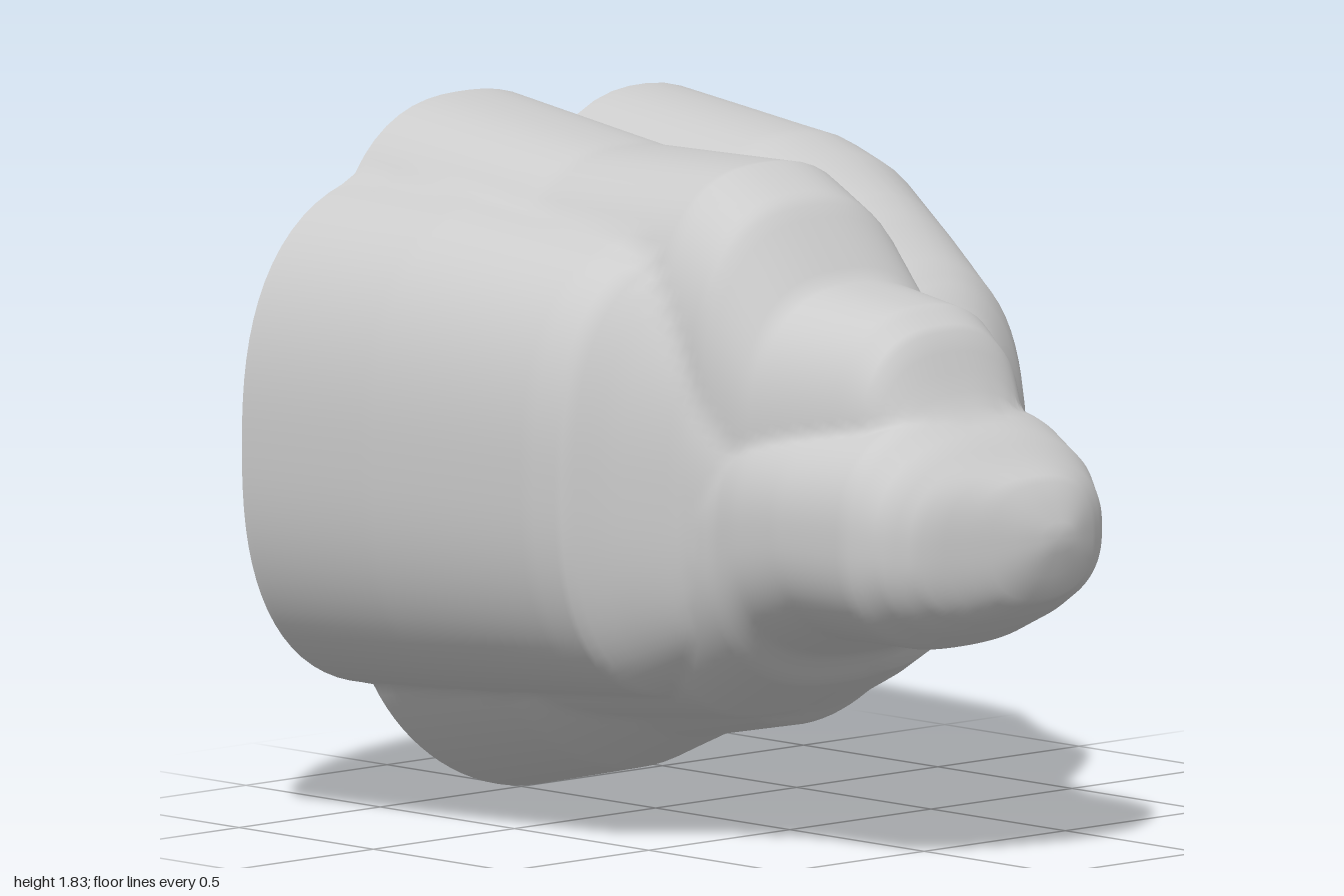
import * as THREE from 'three';

// Each lobe: rounding power p and sections [z, centreX, centreY, radiusX, radiusY], front to back
const LOBES = {
  snout: { p: 2.5, s: [
    [1, 0, 0.87, 0.06, 0.04], [0.96, -0.02, 0.86, 0.18, 0.15], [0.9, -0.07, 0.86, 0.32, 0.2],
    [0.84, -0.09, 0.87, 0.38, 0.25], [0.75, -0.11, 0.88, 0.41, 0.31], [0.52, -0.11, 0.88, 0.44, 0.31],
    [0.37, -0.1, 0.86, 0.46, 0.35], [0.3, -0.1, 0.83, 0.46, 0.4], [0.08, -0.13, 0.86, 0.46, 0.54],
    [-1, -0.1, 0.9, 0.5, 0.7]] },
  brow: { p: 2.5, s: [
    [0.78, -0.1, 1.0, 0.18, 0.16], [0.74, -0.1, 1.05, 0.23, 0.18], [0.68, -0.1, 1.1, 0.27, 0.28],
    [0.6, -0.1, 1.1, 0.3, 0.34], [0.36, -0.13, 1.1, 0.36, 0.38], [0.23, -0.16, 1.2, 0.38, 0.48],
    [0.08, -0.16, 1.2, 0.4, 0.56], [-0.43, -0.18, 1.2, 0.42, 0.55], [-1, -0.21, 1.2, 0.48, 0.63]] },
  leftLobe: { p: 2.3, s: [
    [0.38, 0.37, 0.82, 0.04, 0.2], [0.3, 0.36, 0.86, 0.17, 0.38], [0.2, 0.36, 0.92, 0.29, 0.46],
    [0.14, 0.36, 0.95, 0.34, 0.49], [0, 0.36, 1.02, 0.36, 0.53], [-0.08, 0.37, 1.04, 0.37, 0.56],
    [-0.3, 0.41, 1.08, 0.45, 0.6], [-0.43, 0.42, 1.08, 0.45, 0.64], [-1, 0.42, 1.04, 0.49, 0.74]] },
  leftBulge: { p: 2, s: [
    [0.08, 0.44, 0.72, 0.2, 0.2], [-0.08, 0.48, 0.7, 0.26, 0.24], [-0.2, 0.5, 0.69, 0.3, 0.27],
    [-0.3, 0.54, 0.68, 0.35, 0.29], [-0.6, 0.57, 0.68, 0.36, 0.32], [-1, 0.6, 0.68, 0.385, 0.36]] },
  rightLobe: { p: 2.5, s: [
    [0.3, -0.4, 0.9, 0.14, 0.26], [0.2, -0.4, 0.93, 0.19, 0.4], [0.07, -0.37, 0.96, 0.35, 0.53],
    [0, -0.36, 0.97, 0.45, 0.58], [-0.1, -0.36, 0.98, 0.48, 0.6], [-0.6, -0.38, 0.99, 0.55, 0.65],
    [-1, -0.4, 0.99, 0.59, 0.67]] },
  underside: { p: 1.9, s: [
    [0.32, 0.04, 0.75, 0.36, 0.3], [0.2, 0.04, 0.73, 0.42, 0.35], [0.08, 0.04, 0.72, 0.46, 0.4],
    [0, 0.04, 0.74, 0.51, 0.47], [-0.35, 0.05, 0.72, 0.57, 0.52], [-0.6, 0.05, 0.66, 0.61, 0.57],
    [-1, 0.05, 0.6, 0.66, 0.6]] },
};

// Section of a lobe at depth z, or null in front of it
function sectionAt({ p, s }, z) {
  if (z > s[0][0] + 1e-6) return null;
  let i = 0;
  while (i < s.length - 2 && z < s[i + 1][0]) i++;
  const t = (s[i][0] - z) / (s[i][0] - s[i + 1][0]);
  const [, cx, cy, rx, ry] = s[i].map((v, k) => v + (s[i + 1][k] - v) * t);
  return { p, cx, cy, rx, ry };
}

const inside = (c, x, y) =>
  Math.abs((x - c.cx) / c.rx) ** c.p + Math.abs((y - c.cy) / c.ry) ** c.p <= 1;

// Farthest distance along a ray that is still inside any lobe
function reach(sections, ox, oy, a) {
  const dx = Math.cos(a), dy = Math.sin(a);
  const hit = (r) => sections.some((c) => inside(c, ox + dx * r, oy + dy * r));
  let r = 1.4;
  while (r > 0.02 && !hit(r)) r -= 0.02;
  let lo = r, hi = r + 0.02;
  for (let k = 0; k < 8; k++) {
    const mid = (lo + hi) / 2;
    if (hit(mid)) lo = mid; else hi = mid;
  }
  return lo;
}

export function createModel() {
  const group = new THREE.Group();
  group.name = 'lobedShell';
  const ROWS = 100, SIDES = 120, positions = [], index = [];

  // Rings of the merged outline, from the open back to the tip
  for (let i = 0; i <= ROWS; i++) {
    const z = -1 + (2 * i) / ROWS;
    const sections = Object.values(LOBES).map((l) => sectionAt(l, z)).filter(Boolean);
    const ox = -0.08 * THREE.MathUtils.clamp((1 - z) / 0.2, 0, 1), oy = 0.87;
    for (let j = 0; j < SIDES; j++) {
      const a = (j / SIDES) * Math.PI * 2;
      const r = reach(sections, ox, oy, a);
      positions.push(ox + Math.cos(a) * r, oy + Math.sin(a) * r, z);
    }
  }
  for (let i = 0; i < ROWS; i++) {
    for (let j = 0; j < SIDES; j++) {
      const k = (j + 1) % SIDES;
      const a = i * SIDES + j, b = i * SIDES + k, c = a + SIDES, d = b + SIDES;
      index.push(a, b, c, b, d, c);
    }
  }
  // Closed tip
  const tip = positions.length / 3, last = ROWS * SIDES;
  positions.push(0, 0.87, 1);
  for (let j = 0; j < SIDES; j++) index.push(last + j, last + ((j + 1) % SIDES), tip);

  const geometry = new THREE.BufferGeometry();
  geometry.setAttribute('position', new THREE.Float32BufferAttribute(positions, 3));
  geometry.setIndex(index);
  geometry.computeVertexNormals();
  const shell = new THREE.Mesh(geometry,
    new THREE.MeshStandardMaterial({ color: 0xcccccc, side: THREE.DoubleSide }));
  shell.name = 'shell';
  group.add(shell);
  return group;
}
